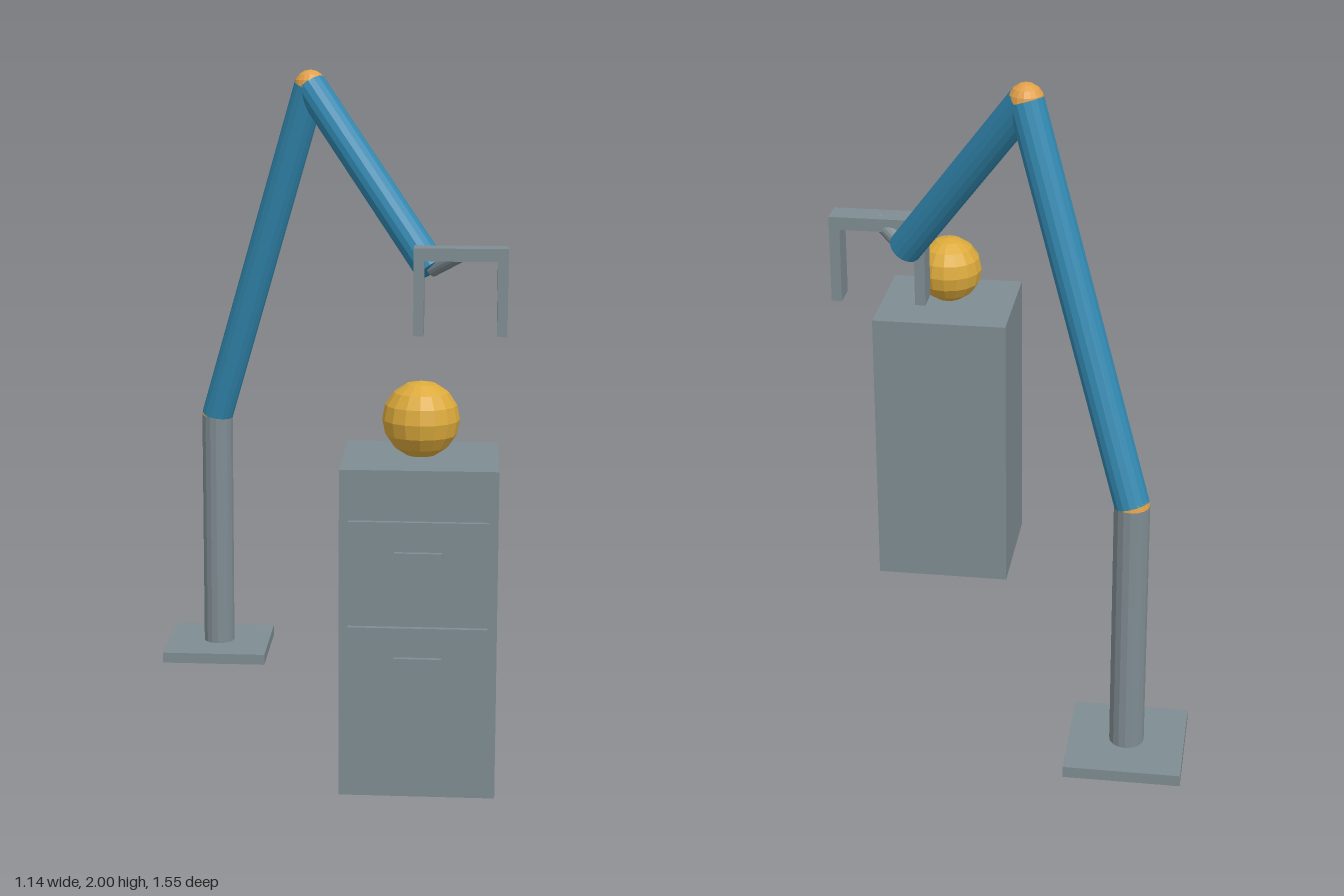
import * as THREE from 'three';

const UP = new THREE.Vector3(0, 1, 0);

export function createModel() {
  const root = new THREE.Group();
  root.name = 'robotArmAndCabinet';

  const mat = (name, color) => {
    const m = new THREE.MeshStandardMaterial({ color, flatShading: true });
    m.name = name;
    return m;
  };
  const grey = mat('steelGrey', 0x7f8c92);
  const blue = mat('armBlue', 0x3288b0);
  const orange = mat('jointOrange', 0xe0a04a);
  const gold = mat('ballGold', 0xdcaa3c);

  const add = (name, geometry, material, parent, position) => {
    const mesh = new THREE.Mesh(geometry, material);
    mesh.name = name;
    mesh.position.copy(position);
    parent.add(mesh);
    return mesh;
  };
  // Box given by its limits on each axis
  const box = (name, parent, [x0, x1], [y0, y1], [z0, z1]) =>
    add(name, new THREE.BoxGeometry(x1 - x0, y1 - y0, z1 - z0), grey, parent,
      new THREE.Vector3((x0 + x1) / 2, (y0 + y1) / 2, (z0 + z1) / 2));
  // Cylinder between two points
  const rod = (name, parent, a, b, radius, material) => {
    const d = b.clone().sub(a);
    const mesh = add(name, new THREE.CylinderGeometry(radius, radius, d.length(), 16), material, parent,
      a.clone().add(b).multiplyScalar(0.5));
    mesh.quaternion.setFromUnitVectors(UP, d.normalize());
    return mesh;
  };
  const ball = (name, parent, center, radius, material) =>
    add(name, new THREE.SphereGeometry(radius, 16, 8), material, parent, center);

  // Arm: base plate, post, two links and their joints
  const arm = new THREE.Group();
  arm.name = 'arm';
  root.add(arm);
  const R = 0.052;
  const foot = new THREE.Vector3(-0.4, 0.03, -0.602);
  const shoulder = new THREE.Vector3(-0.4, 0.83, -0.602);
  const elbow = new THREE.Vector3(-0.065, 1.948, -0.385);
  const wrist = new THREE.Vector3(0.333, 1.395, -0.13);
  const palmCenter = new THREE.Vector3(0.425, 1.452, -0.065);
  box('basePlate', arm, [-0.573, -0.227], [0, 0.035], [-0.775, -0.429]);
  rod('post', arm, foot, shoulder, R, grey);
  ball('shoulderJoint', arm, shoulder, R, orange);
  rod('upperArm', arm, shoulder, elbow, R, blue);
  ball('elbowJoint', arm, elbow, R, orange);
  rod('forearm', arm, elbow, wrist, R, blue);
  rod('wristLink', arm, wrist, palmCenter, 0.025, grey);

  // Gripper: palm bar with a finger at each end
  const gripper = new THREE.Group();
  gripper.name = 'gripper';
  arm.add(gripper);
  const gripZ = [-0.107, -0.023];
  box('palm', gripper, [0.28, 0.57], [1.432, 1.472], gripZ);
  box('rightFinger', gripper, [0.28, 0.312], [1.2, 1.432], gripZ);
  box('leftFinger', gripper, [0.538, 0.57], [1.2, 1.432], gripZ);

  // Cabinet with two drawer fronts standing slightly proud, and handles
  const cabinet = new THREE.Group();
  cabinet.name = 'cabinet';
  root.add(cabinet);
  box('cabinetBody', cabinet, [0.1, 0.542], [0, 0.946], [0.334, 0.735]);
  for (const y of [0.385, 0.688]) {
    box('drawerFront', cabinet, [0.126, 0.516], [y - 0.117, y + 0.117], [0.744, 0.76]);
    box('drawerHandle', cabinet, [0.255, 0.388], [y + 0.017, y + 0.033], [0.76, 0.775]);
  }

  // Ball resting on the cabinet
  ball('ball', root, new THREE.Vector3(0.321, 1.056, 0.553), 0.11, gold);

  return root;
}
